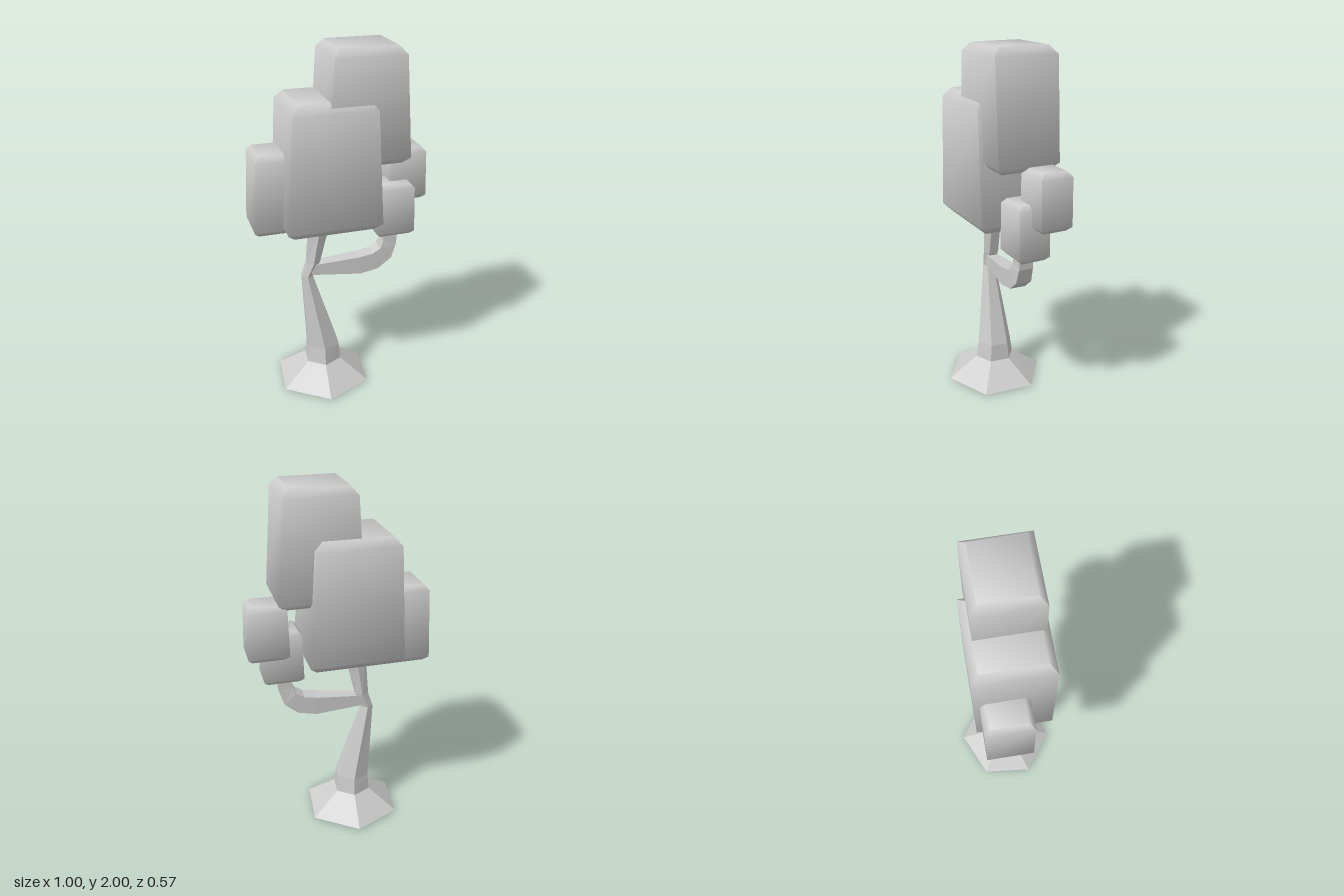
import * as THREE from 'three';
import { toCreasedNormals } from 'three/addons/utils/BufferGeometryUtils.js';

// Skin a closed solid through rings: [x, y, z, halfX, halfZ, tilt about z in degrees].
function loft(rings, sides, startAngle) {
  const pos = [], index = [];
  for (const [x, y, z, rx, rz, tilt = 0] of rings) {
    const t = THREE.MathUtils.degToRad(tilt);
    for (let i = 0; i < sides; i++) {
      const a = startAngle + (i / sides) * Math.PI * 2;
      const u = Math.cos(a) * rx;
      pos.push(x + u * Math.cos(t), y + u * Math.sin(t), z - Math.sin(a) * rz);
    }
  }
  for (let k = 0; k < rings.length - 1; k++) {
    for (let i = 0; i < sides; i++) {
      const a = k * sides + i, b = k * sides + (i + 1) % sides;
      index.push(a, b, b + sides, a, b + sides, a + sides);
    }
  }
  const top = (rings.length - 1) * sides;
  for (let i = 1; i < sides - 1; i++) {
    index.push(0, i + 1, i, top, top + i, top + i + 1);
  }
  const g = new THREE.BufferGeometry();
  g.setAttribute('position', new THREE.Float32BufferAttribute(pos, 3));
  g.setIndex(index);
  return g;
}

const S = Math.SQRT2; // corner radius of a square per half width

// Tapered foliage block with sharp upright edges and chamfered top and bottom rims.
function foliageGeometry(y0, y1, wBottom, wTop, depth, c) {
  const ring = (y, w, d) => [0, y, 0, w * S, d * S];
  const g = loft([
    ring(y0, wBottom - c, depth - c),
    ring(y0 + c, wBottom, depth),
    ring(y1 - c * 1.2, wTop, depth),
    ring(y1, wTop - c, depth - c),
  ], 4, Math.PI / 4);
  return toCreasedNormals(g, Math.PI / 3);
}

export function createModel() {
  const group = new THREE.Group();
  const smooth = new THREE.MeshStandardMaterial({ color: 0xcccccc });
  const flat = new THREE.MeshStandardMaterial({ color: 0xcccccc, flatShading: true });
  const add = (name, geometry, material) => {
    const mesh = new THREE.Mesh(geometry, material);
    mesh.name = name;
    group.add(mesh);
    return mesh;
  };

  // Six-sided trunk with flared roots and a kink at the fork
  const trunk = add('trunk', loft([
    [0, 0, 0, 0.10, 0.10],
    [0, 0.01, 0, 0.285, 0.285],
    [0, 0.13, 0, 0.113, 0.115],
    [0, 0.23, 0, 0.103, 0.10],
    [-0.085, 0.69, 0, 0.036, 0.037],
    [-0.05, 0.78, 0, 0.043, 0.045],
    [-0.01, 1.03, 0, 0.066, 0.052],
    [0.01, 1.15, 0, 0.066, 0.052],
  ], 6, Math.PI / 6), flat);
  trunk.position.x = -0.107;
  trunk.rotation.y = -0.05;

  // Side branch sweeping out and up into the lower right foliage
  const branchPath = [
    [-0.17, 0.735, 0.030, -88],
    [0.11, 0.738, 0.053, -88],
    [0.20, 0.755, 0.052, -70],
    [0.262, 0.80, 0.046, -45],
    [0.285, 0.865, 0.040, -15],
    [0.29, 0.97, 0.038, 0],
  ];
  add('branch', loft(
    branchPath.map(([x, y, r, tilt]) => [x, y, 0, r * S, Math.min(r, 0.045) * S, tilt]),
    4, Math.PI / 4), flat);

  // Foliage: name, x, z, bottom y, top y, bottom and top half width, half depth, chamfer
  const blocks = [
    ['mainFoliage', -0.08, 0.007, 1.02, 1.74, 0.262, 0.225, 0.205, 0.04],
    ['topFoliage', 0.108, 0.005, 1.38, 2.0, 0.227, 0.19, 0.175, 0.037],
    ['rightSideFoliage', -0.335, -0.025, 1.01, 1.46, 0.162, 0.143, 0.126, 0.027],
    ['leftUpperFoliage', 0.385, -0.08, 1.10, 1.41, 0.11, 0.102, 0.09, 0.024],
    ['leftLowerFoliage', 0.30, -0.003, 0.92, 1.23, 0.11, 0.102, 0.088, 0.022],
  ];
  for (const [name, x, z, ...dims] of blocks) {
    const block = add(name, foliageGeometry(...dims), smooth);
    block.position.set(x, 0, z);
    block.rotation.y = 0.06;
  }

  return group;
}
